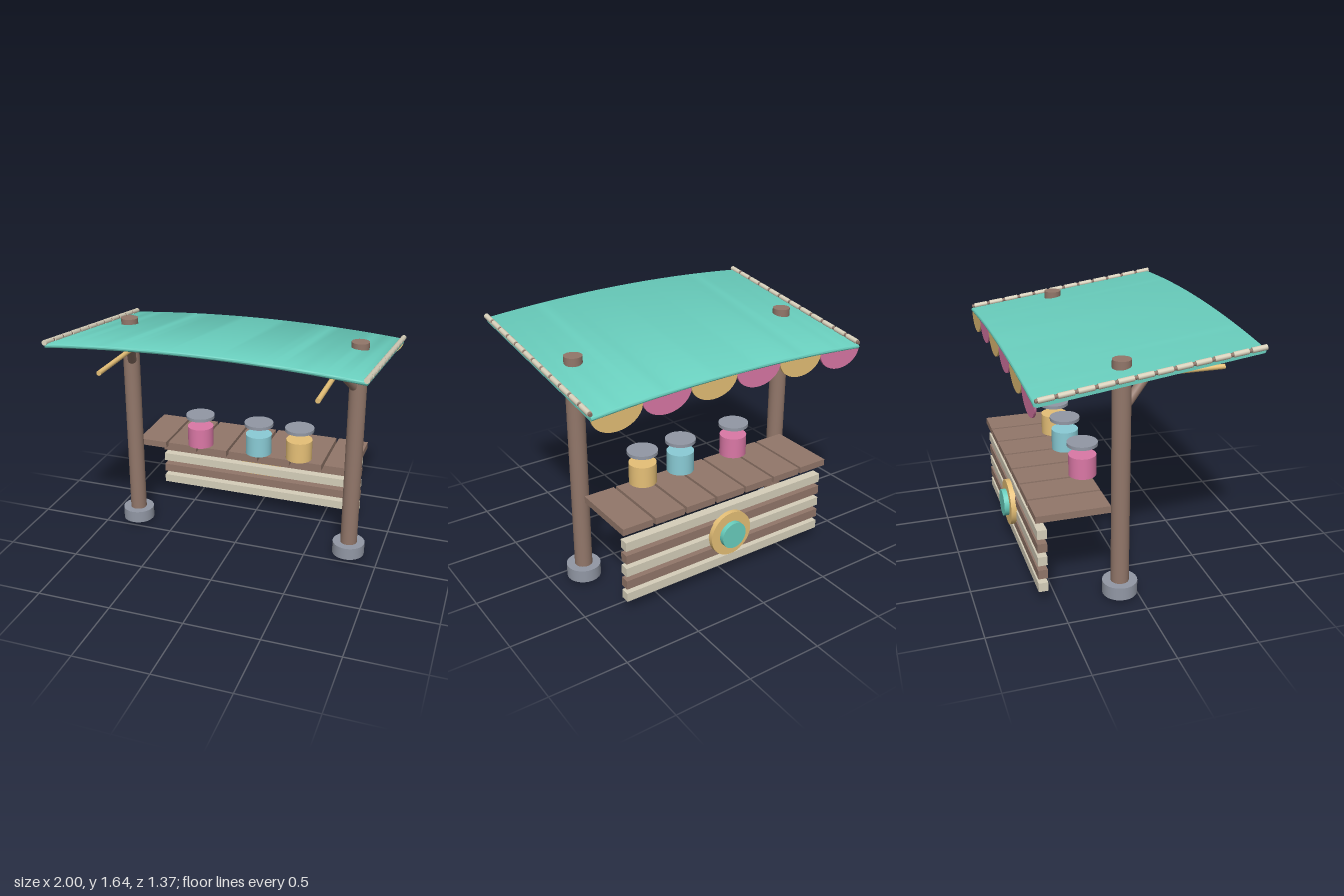
import * as THREE from 'three';
import { toCreasedNormals } from 'three/addons/utils/BufferGeometryUtils.js';

const mat = (color, side = THREE.FrontSide) => new THREE.MeshStandardMaterial({ color, side });
const WOOD = mat(0x92776a), CREAM = mat(0xd6cfba), TEAL = mat(0x6ad0bf), GOLD = mat(0xe6c077),
  PINK = mat(0xdb78a6), BLUE = mat(0x8accd6), STONE = mat(0x9298a5);

// height of the awning's top surface: pitched in z, arched in x
const roofY = (x, z) => 1.55 + 0.134 * z - 0.047 * x * x;

export function createModel() {
  const root = new THREE.Group();

  const add = (name, geometry, material, x = 0, y = 0, z = 0) => {
    const mesh = new THREE.Mesh(geometry, material);
    mesh.name = name;
    mesh.position.set(x, y, z);
    root.add(mesh);
    return mesh;
  };
  const box = (name, m, w, h, d, x, y, z) => add(name, new THREE.BoxGeometry(w, h, d), m, x, y, z);
  const drum = (name, m, r, y0, y1, x, z) =>
    add(name, new THREE.CylinderGeometry(r, r, y1 - y0, 32), m, x, (y0 + y1) / 2, z);
  // round bar between two points
  const bar = (name, m, r, a, b, sides = 16) => {
    const from = new THREE.Vector3(...a), to = new THREE.Vector3(...b);
    const dir = to.clone().sub(from);
    const mesh = add(name, new THREE.CylinderGeometry(r, r, dir.length(), sides), m);
    mesh.position.copy(from).add(to).multiplyScalar(0.5);
    mesh.quaternion.setFromUnitVectors(new THREE.Vector3(0, 1, 0), dir.normalize());
    return mesh;
  };

  // posts with footings, braces and awning poles
  for (const s of [1, -1]) {
    drum('post', WOOD, 0.057, 0, 1.548, s * 0.79, -0.11);
    drum('postFooting', STONE, 0.11, 0.02, 0.105, s * 0.79, -0.11);
    bar('brace', WOOD, 0.03, [s * 0.77, 1.26, -0.075], [s * 0.665, 1.5, 0.165]);
    bar('awningPole', GOLD, 0.016, [s * 0.69, 1.4, 0.57], [s * 0.69, 1.4, -0.65]);
  }

  // awning: thin sheet with rounded front and back edges, bent to the roof surface
  const t = 0.028, halfD = 0.675, halfW = 0.983;
  const section = new THREE.Shape();
  section.absarc(halfD - t / 2, 0, t / 2, -Math.PI / 2, Math.PI / 2);
  section.absarc(-halfD + t / 2, 0, t / 2, Math.PI / 2, Math.PI * 1.5);
  const sheet = new THREE.ExtrudeGeometry(section, {
    depth: halfW * 2, steps: 32, bevelEnabled: false, curveSegments: 8,
  });
  sheet.translate(0, 0, -halfW).rotateY(-Math.PI / 2);
  const p = sheet.attributes.position;
  for (let i = 0; i < p.count; i++) {
    p.setY(i, p.getY(i) - t / 2 + roofY(p.getX(i), p.getZ(i)));
  }
  add('awning', toCreasedNormals(sheet, 0.8), TEAL, 0, 0, 0.008);

  // segmented rope trim along both sides of the awning
  const trimY = z => 1.512 + 0.13 * z;
  for (const s of [1, -1]) {
    const x = s * 0.982;
    bar('trimCore', WOOD, 0.012, [x, trimY(0.68), 0.68], [x, trimY(-0.66), -0.66], 10);
    for (let i = 0; i < 12; i++) {
      const z0 = 0.685 - i * 0.1125, z1 = z0 - 0.092;
      bar('trimSegment', CREAM, 0.017, [x, trimY(z0), z0], [x, trimY(z1), z1], 12);
    }
  }

  // scalloped valance under the back edge
  const scallop = new THREE.Shape();
  scallop.absellipse(0, 0, 0.164, 0.12, Math.PI, Math.PI * 2);
  const scallopGeo = new THREE.ExtrudeGeometry(scallop, {
    depth: 0.012, bevelEnabled: false, curveSegments: 20,
  });
  for (let i = 0; i < 6; i++) {
    const x = (i - 2.5) * 0.328;
    const flap = add('scallop', scallopGeo, i % 2 ? GOLD : PINK, x, roofY(x, -0.66) - 0.022, -0.662);
    flap.rotation.z = Math.atan(-0.094 * x);
  }

  // counter planks
  for (let i = 0; i < 7; i++) {
    box('counterPlank', WOOD, 0.21, 0.045, 0.465, (i - 3) * 0.228, 0.603, -0.4);
  }

  // slatted panel with a round medallion
  for (let i = 0; i < 5; i++) {
    box('panelSlat', i % 2 ? WOOD : CREAM, 1.53, 0.06, 0.06, 0, 0.12 + i * 0.0912, -0.59);
  }
  bar('medallionRim', GOLD, 0.153, [0, 0.33, -0.615], [0, 0.33, -0.652], 40);
  bar('medallionCentre', TEAL, 0.09, [0, 0.33, -0.64], [0, 0.33, -0.685], 32);

  // jars, each with a lid held above its contents
  for (const [x, m] of [[-0.33, PINK], [0.1, BLUE], [0.39, GOLD]]) {
    drum('jarContents', m, 0.09, 0.632, 0.773, x, -0.215);
    drum('jarLid', STONE, 0.1, 0.838, 0.86, x, -0.215);
  }

  return root;
}
